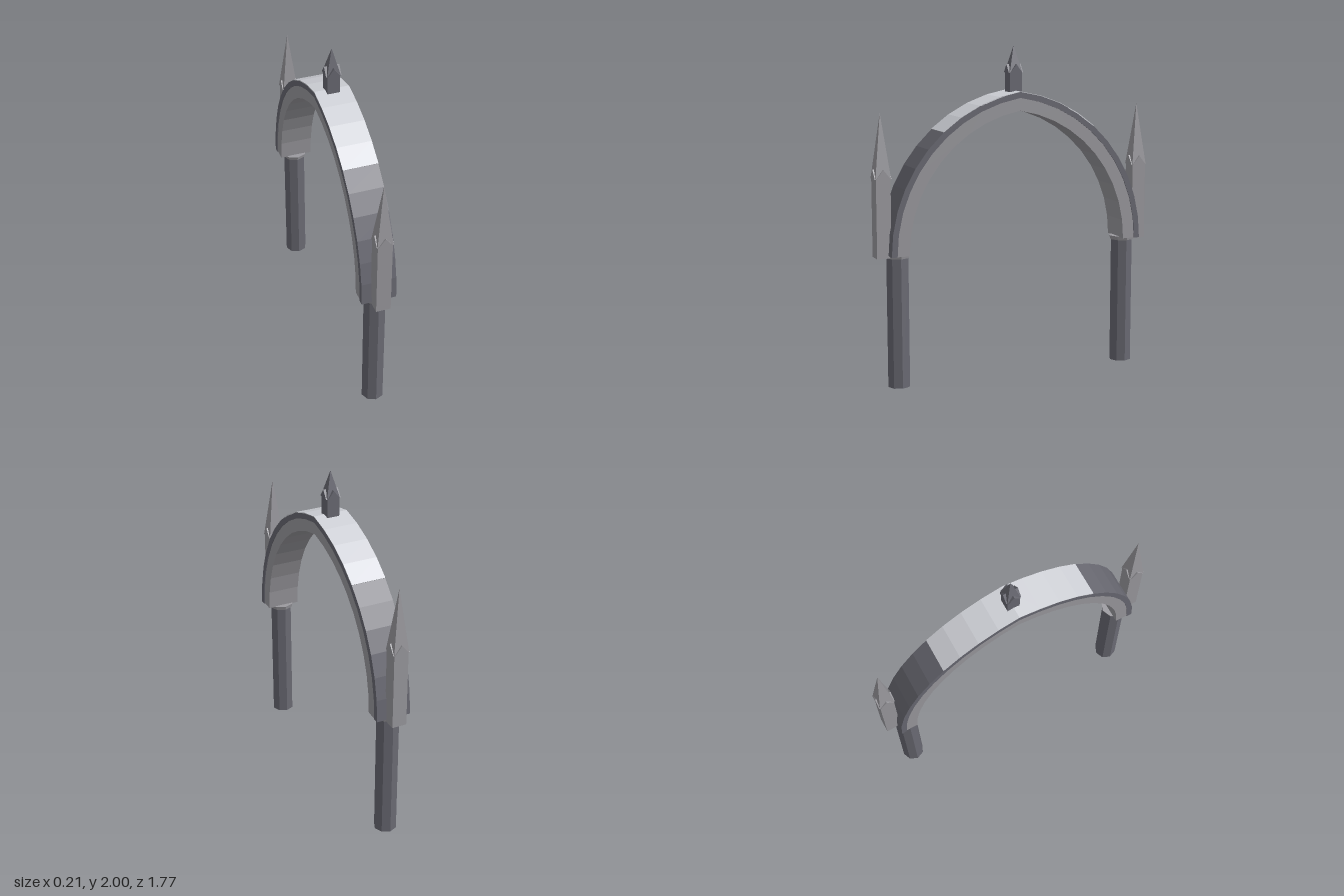
import * as THREE from 'three';

const SPRING = 0.8;   // height where the arch starts
const OFFSET = 0.13;  // arc centres lie past the middle, giving a slight point
const STEPS = 10;

export function createModel() {
  const model = new THREE.Group();
  model.name = 'pointedArch';

  const material = (name, color) => {
    const m = new THREE.MeshStandardMaterial({ color });
    m.name = name;
    return m;
  };
  const dark = material('darkStone', 0x6a6a73);
  const stone = material('paleStone', 0x9b9a9f);
  const light = material('lightCapping', 0xd0d2d8);

  // Adds a faceted mesh
  const add = (parent, name, geometry, mat, x = 0, y = 0, z = 0) => {
    const g = geometry.index ? geometry.toNonIndexed() : geometry;
    g.computeVertexNormals();
    const mesh = new THREE.Mesh(g, mat);
    mesh.name = name;
    mesh.position.set(x, y, z);
    parent.add(mesh);
    return mesh;
  };

  // Extrudes a profile drawn in (z, y) along x, centred
  const alongX = (shape, width) =>
    new THREE.ExtrudeGeometry(shape, { depth: width, bevelEnabled: false })
      .translate(0, 0, -width / 2)
      .rotateY(-Math.PI / 2);

  // Pointed band between two radii, starting at a given step of each arc
  const band = (r0, r1, first, width) => {
    const arc = (r) => {
      const end = Math.acos(OFFSET / r);
      const half = [];
      for (let i = first; i <= STEPS; i++) {
        const a = (end * i) / STEPS;
        half.push(new THREE.Vector2(r * Math.cos(a) - OFFSET, SPRING + r * Math.sin(a)));
      }
      const other = half.slice(0, -1).reverse().map((p) => new THREE.Vector2(-p.x, p.y));
      return [...half, ...other];
    };
    return alongX(new THREE.Shape([...arc(r1), ...arc(r0).reverse()]), width);
  };

  // Arch: inner ring, outer rim and the light covering over the crown
  add(model, 'archRing', band(0.83, 0.905, 0, 0.2), stone);
  add(model, 'archRim', band(0.905, 0.94, 0, 0.21), dark);
  add(model, 'archCapping', band(0.937, 0.943, 6, 0.21), light);

  // Square pinnacle with crossed gables and a spire
  const pinnacle = (name, mat, z, bottom, eave, ridge, tip, half, reach) => {
    const group = new THREE.Group();
    group.name = name;
    group.position.z = z;
    const height = eave + 0.01 - bottom;
    add(group, 'shaft', new THREE.BoxGeometry(half * 2, height, half * 2), mat, 0, bottom + height / 2);
    const gable = new THREE.Shape([
      new THREE.Vector2(-half, eave),
      new THREE.Vector2(half, eave),
      new THREE.Vector2(0, ridge),
    ]);
    for (const turn of [0, Math.PI / 2]) {
      add(group, 'gable', alongX(gable, reach * 2).rotateY(turn), mat);
    }
    const spire = new THREE.ConeGeometry((half + 0.003) * Math.SQRT2, tip - eave, 4).rotateY(Math.PI / 4);
    add(group, 'spire', spire, mat, 0, (eave + tip) / 2);
    model.add(group);
  };
  pinnacle('crownPinnacle', dark, 0, 1.71, 1.84, 1.89, 2.0, 0.038, 0.046);

  // Pillars, capitals and side pinnacles at both ends
  for (const [side, s] of [['front', 1], ['back', -1]]) {
    add(model, side + 'Pillar', new THREE.CylinderGeometry(0.068, 0.068, 0.785, 8), dark, 0, 0.3925, s * 0.742);
    add(model, side + 'Capital', new THREE.CylinderGeometry(0.08, 0.074, 0.024, 8), stone, 0, 0.792, s * 0.742);
    pinnacle(side + 'Pinnacle', stone, s * 0.835, 0.785, 1.25, 1.305, 1.63, 0.044, 0.05);
  }

  return model;
}
